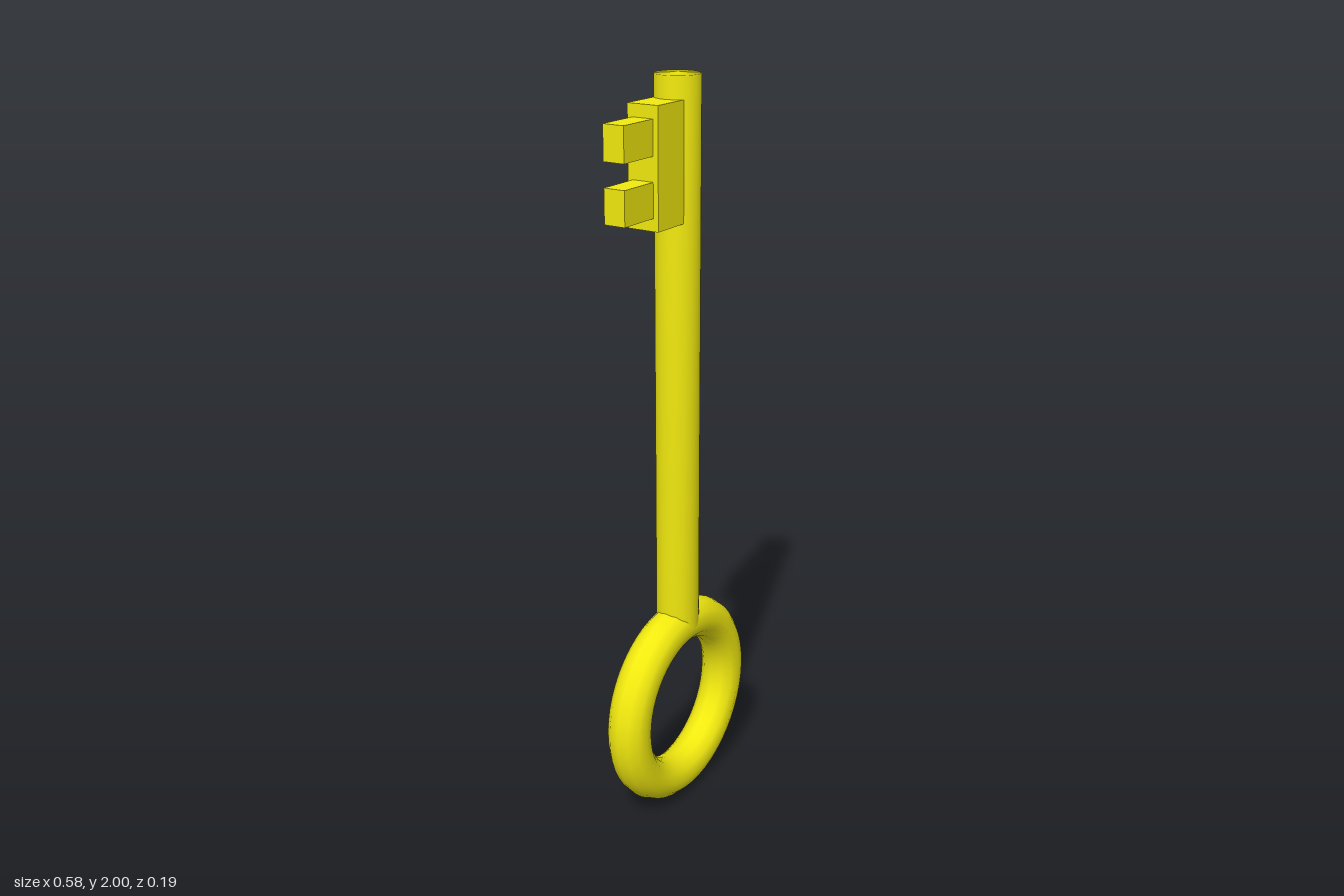
import * as THREE from 'three';
import { mergeVertices } from 'three/addons/utils/BufferGeometryUtils.js';

export function createModel() {
  const key = new THREE.Group();
  key.name = 'key';
  const material = new THREE.MeshStandardMaterial({ color: 0xf2ea0f });

  const add = (name, geometry, x, y) => {
    const mesh = new THREE.Mesh(geometry, material);
    mesh.name = name;
    mesh.position.set(x, y, 0);
    key.add(mesh);
  };

  // box spanning xOuter..xInner, centred on z
  const addBox = (name, xOuter, xInner, y, height, depth) =>
    add(name, new THREE.BoxGeometry(xInner - xOuter, height, depth), (xOuter + xInner) / 2, y);

  // ring handle
  const tube = 0.058, ringRadius = 0.235;
  const ringY = ringRadius + tube + 0.002;
  add('ringHandle', new THREE.TorusGeometry(ringRadius, tube, 12, 48), 0, ringY);

  // round shaft running from the ring's tube centre to the tip, shaded smooth over its rims
  const shaftBottom = ringY + ringRadius, shaftTop = 2;
  let shaft = new THREE.CylinderGeometry(tube, tube, shaftTop - shaftBottom, 32);
  shaft.deleteAttribute('normal');
  shaft.deleteAttribute('uv');
  shaft = mergeVertices(shaft);
  shaft.computeVertexNormals();
  add('shaft', shaft, 0, (shaftTop + shaftBottom) / 2);

  // bit plate with two teeth
  const bitY = 1.797;
  addBox('bitPlate', -0.148, -0.02, bitY, 0.295, 0.086);
  for (const side of [-1, 1]) {
    addBox(side < 0 ? 'lowerTooth' : 'upperTooth', -0.265, -0.14, bitY + side * 0.073, 0.086, 0.058);
  }

  // the whole key is turned slightly about its shaft
  key.rotation.y = 0.16;
  return key;
}
